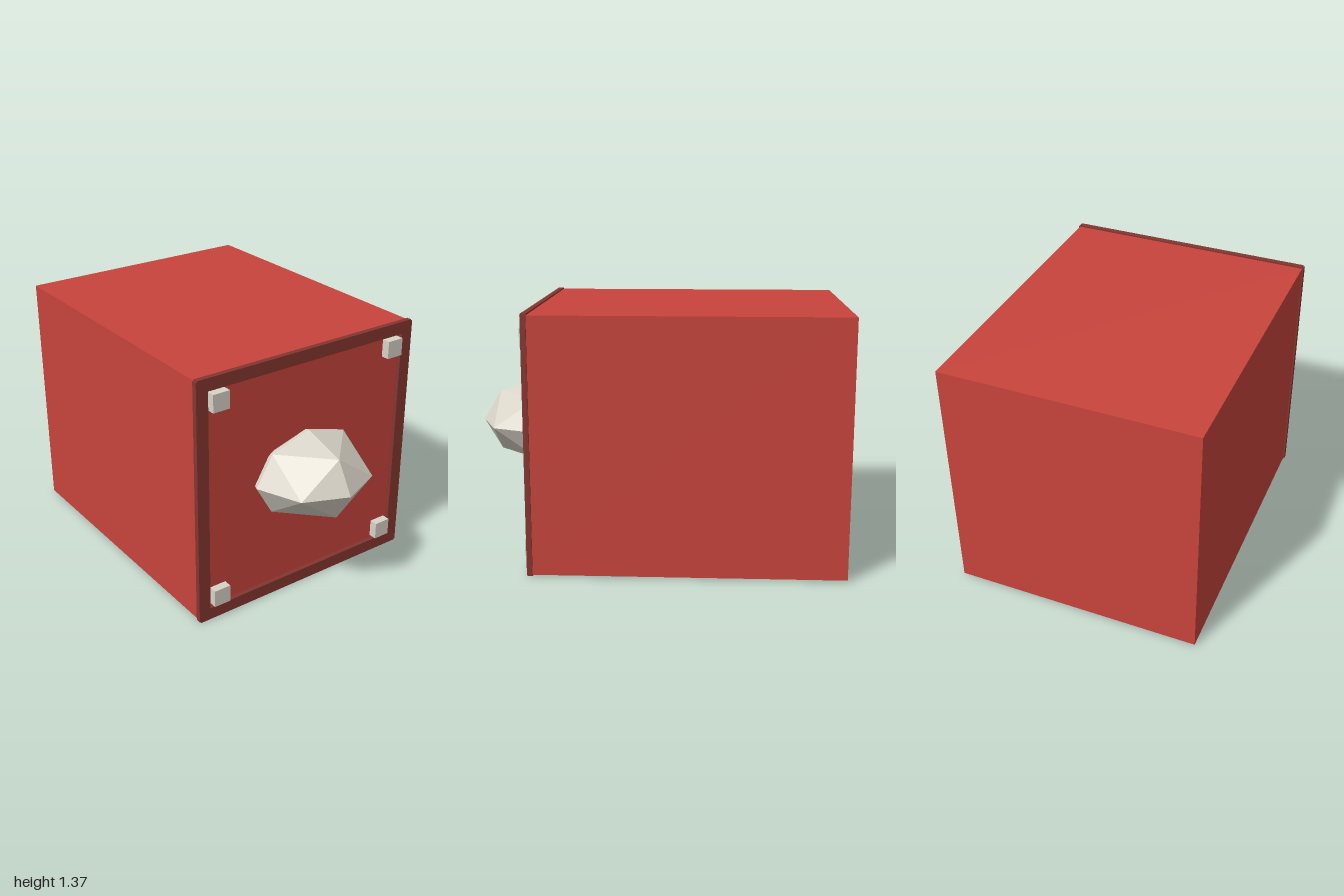
import * as THREE from 'three';

const red = new THREE.MeshStandardMaterial({ color: 0xc8443c });
red.name = 'red';
const brown = new THREE.MeshStandardMaterial({ color: 0x85362f });
brown.name = 'dark red brown';
const cream = new THREE.MeshStandardMaterial({ color: 0xd8d3c7 });
cream.name = 'stone cream';

// Box given by its minimum and maximum corners
function block(name, material, [x0, y0, z0], [x1, y1, z1]) {
  const geometry = new THREE.BoxGeometry(x1 - x0, y1 - y0, z1 - z0);
  const mesh = new THREE.Mesh(geometry, material);
  mesh.position.set((x0 + x1) / 2, (y0 + y1) / 2, (z0 + z1) / 2);
  mesh.name = name;
  return mesh;
}

export function createModel() {
  const model = new THREE.Group();
  model.name = 'crate';
  const midY = 0.685;

  // Main body
  model.add(block('body', red, [-0.677, 0.008, -1], [0.677, 1.362, 0.632]));

  // Raised border around the front face
  const frame = new THREE.Group();
  frame.name = 'frontFrame';
  const back = 0.628, front = 0.657;
  frame.add(
    block('frameTop', brown, [-0.677, 1.302, back], [0.677, 1.37, front]),
    block('frameBottom', brown, [-0.677, 0, back], [0.677, 0.068, front]),
    block('frameLeft', brown, [0.617, 0.008, back], [0.685, 1.362, front]),
    block('frameRight', brown, [-0.685, 0.008, back], [-0.617, 1.362, front])
  );
  model.add(frame);

  // Square studs in the corners of the front face
  for (const sx of [-1, 1]) {
    for (const sy of [-1, 1]) {
      const x = sx * 0.555, y = midY + sy * 0.555, h = 0.048;
      model.add(block('cornerStud', cream, [x - h, y - h, 0.62], [x + h, y + h, 0.678]));
    }
  }

  // Faceted knob, half sunk into the front face
  const knobGeometry = new THREE.OctahedronGeometry(1, 1);
  knobGeometry.scale(0.332, 0.237, 0.338);
  knobGeometry.computeVertexNormals();
  const knob = new THREE.Mesh(knobGeometry, cream);
  knob.name = 'facetedKnob';
  knob.position.set(0, midY, 0.662);
  model.add(knob);

  return model;
}
